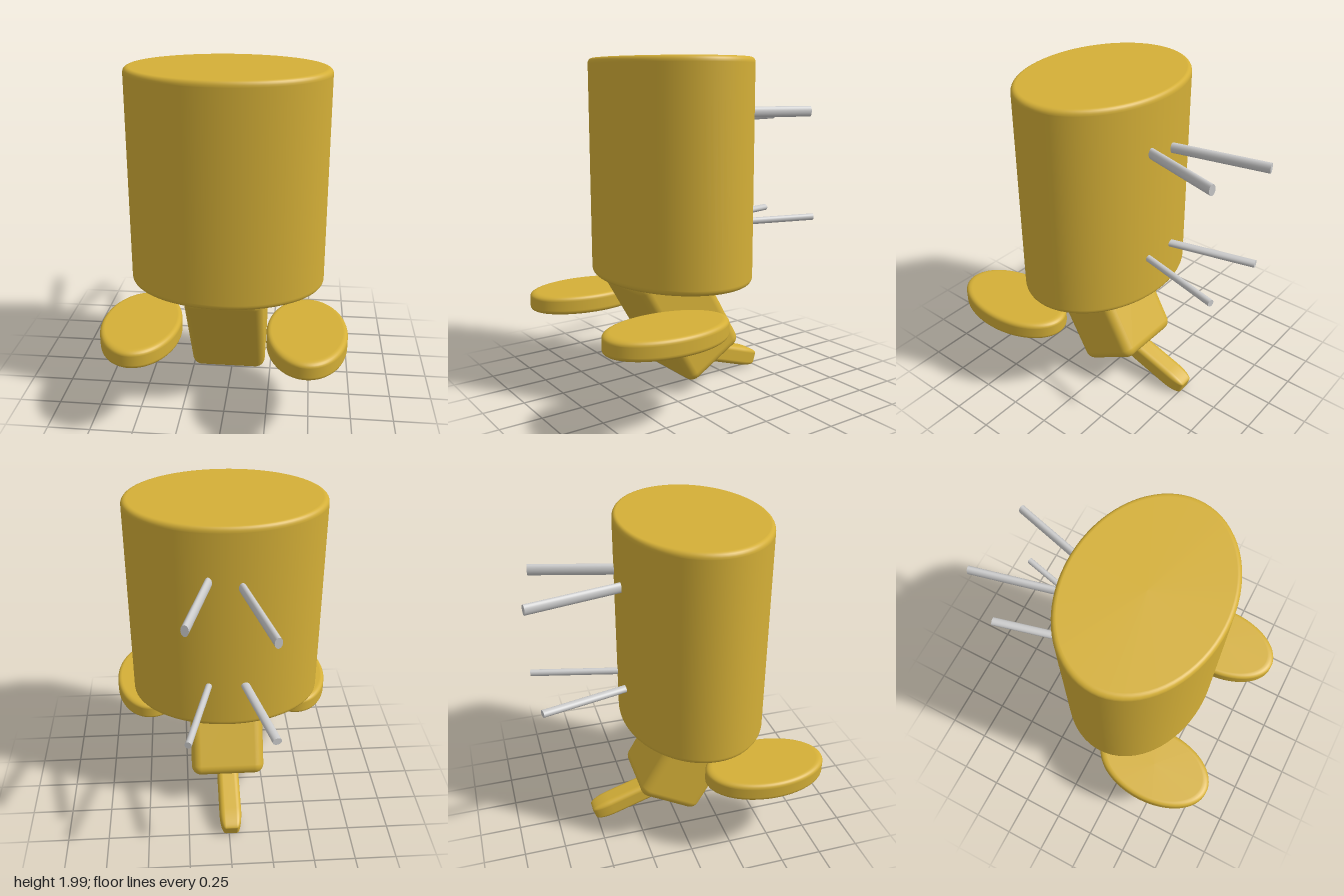
import * as THREE from 'three';
import { RoundedBoxGeometry } from 'three/addons/geometries/RoundedBoxGeometry.js';

const gold = new THREE.MeshStandardMaterial({ color: 0xd4af37 });
const grey = new THREE.MeshStandardMaterial({ color: 0xcccccc });

// Upright elliptical drum with softened rims
function ovalDrum(rx, rz, height, rim) {
  const h = height / 2;
  const points = [new THREE.Vector2(0, -h), new THREE.Vector2(rx - rim * 1.1, -h)];
  const arc = (cy, from) => {
    for (let i = 0; i <= 6; i++) {
      const a = from + (i / 6) * (Math.PI / 2);
      points.push(new THREE.Vector2(rx - rim + rim * Math.cos(a), cy + rim * Math.sin(a)));
    }
  };
  arc(-h + rim, -Math.PI / 2);
  points.push(new THREE.Vector2(rx, -h + rim * 1.1), new THREE.Vector2(rx, h - rim * 1.1));
  arc(h - rim, 0);
  points.push(new THREE.Vector2(rx - rim * 1.1, h), new THREE.Vector2(0, h));
  return new THREE.LatheGeometry(points, 72).scale(1, 1, rz / rx);
}

export function createModel() {
  const model = new THREE.Group();
  const add = (name, geometry, material, x, y, z, tilt = 0) => {
    const mesh = new THREE.Mesh(geometry, material);
    mesh.name = name;
    mesh.position.set(x, y, z);
    mesh.rotation.x = tilt;
    model.add(mesh);
    return mesh;
  };

  // Body
  add('body', ovalDrum(0.578, 0.432, 1.28, 0.03), gold, -0.012, 1.36, 0.128);

  // Feet
  add('leftFoot', ovalDrum(0.23, 0.38, 0.112, 0.025), gold, 0.475, 0.534, 0.471);
  add('rightFoot', ovalDrum(0.23, 0.368, 0.112, 0.025), gold, -0.48, 0.534, 0.458);

  // Tilted block under the body; its lower end face is centred at y 0.173, z -0.074
  const blockTilt = Math.PI / 6, blockLength = 0.76;
  add('lowerBlock', new RoundedBoxGeometry(0.46, blockLength, 0.427, 6, 0.06), gold, -0.01,
    0.173 + Math.cos(blockTilt) * blockLength / 2,
    -0.074 + Math.sin(blockTilt) * blockLength / 2, blockTilt);

  // Tail with long tapering ends
  const tail = new RoundedBoxGeometry(1, 1, 1, 5, 0.25).scale(0.136, 0.121, 0.5);
  add('tail', tail, gold, -0.013, 0.13, -0.281, -0.314);

  // Splayed rods on the back: start x, end x, height, end z, half width, half height
  const rods = [
    ['upperLeftRod', 0.1, 0.235, 1.683, -0.765, 0.021, 0.033],
    ['upperRightRod', -0.075, -0.207, 1.65, -0.847, 0.021, 0.031],
    ['lowerLeftRod', 0.105, 0.237, 1.01, -0.808, 0.019, 0.021],
    ['lowerRightRod', -0.1, -0.23, 1.01, -0.805, 0.026, 0.021],
  ];
  for (const [name, x0, x1, y, z1, halfWidth, halfHeight] of rods) {
    const z0 = -0.28;
    const length = Math.hypot(x1 - x0, z1 - z0);
    const geometry = new THREE.CylinderGeometry(1, 1, length, 24)
      .rotateX(Math.PI / 2)
      .scale(halfWidth, halfHeight, 1);
    const rod = add(name, geometry, grey, (x0 + x1) / 2, y, (z0 + z1) / 2);
    rod.rotation.y = Math.atan2(x1 - x0, z1 - z0);
  }
  return model;
}
